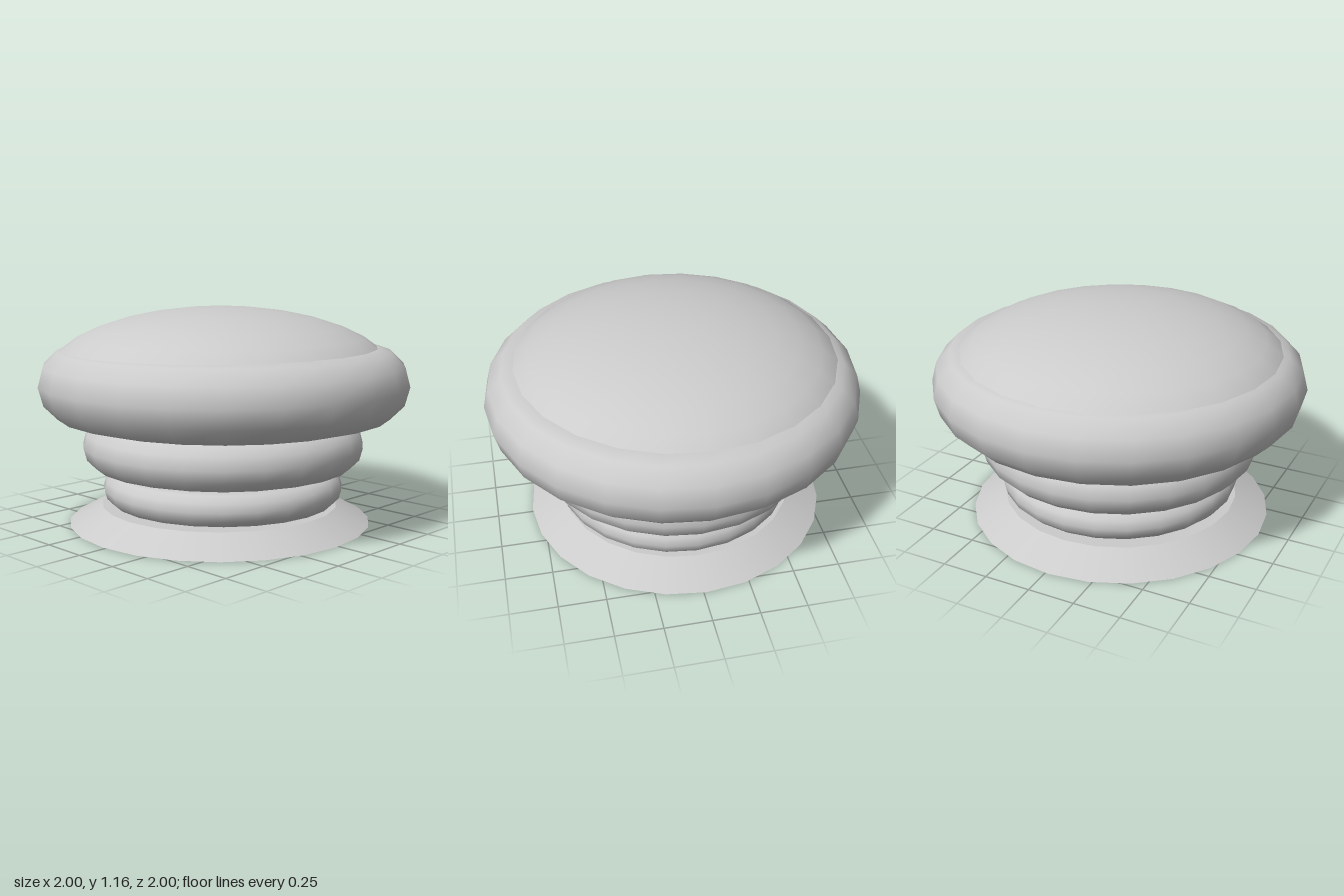
import * as THREE from 'three';

const SIDES = 24;

export function createModel() {
  const model = new THREE.Group();
  const material = new THREE.MeshStandardMaterial({ color: 0xcccccc });

  // Parts sit very slightly off the axis: shift moves a part toward -x and +z
  const add = (name, geometry, y, shift) => {
    const mesh = new THREE.Mesh(geometry, material);
    mesh.name = name;
    mesh.position.set(-shift, y, shift);
    model.add(mesh);
  };

  // Flared foot
  const footHeight = 0.095;
  add('base', new THREE.CylinderGeometry(0.645, 0.823, footHeight, SIDES), footHeight / 2, 0.017);

  // Stacked rings, growing upward: name, height, ring radius, tube radius, shift
  const rings = [
    ['lowerRing', 0.19, 0.565, 0.09, 0.004],
    ['middleRing', 0.425, 0.635, 0.13, 0.003],
    ['upperRing', 0.76, 0.8, 0.2, 0],
  ];
  for (const [name, y, radius, tube, shift] of rings) {
    add(name, new THREE.TorusGeometry(radius, tube, 12, SIDES).rotateX(Math.PI / 2), y, shift);
  }

  // Squashed ball that bulges out of the upper ring
  add('dome', new THREE.SphereGeometry(1, SIDES, 16).scale(0.93, 0.363, 0.93), 0.802, 0.012);

  return model;
}
